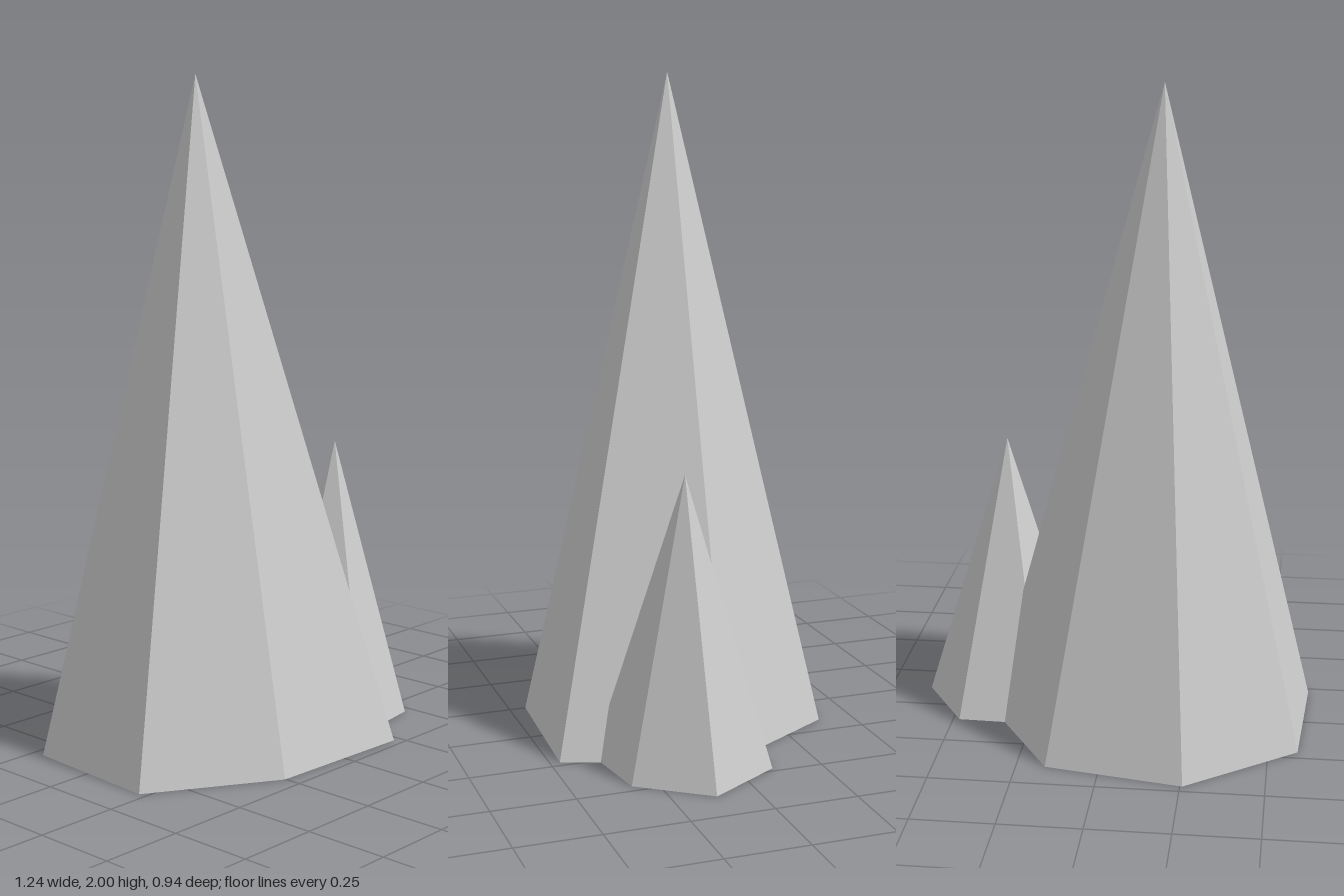
import * as THREE from 'three';

// A jagged spike: a cone with one corner per radius, corners running from +x towards +z.
function makeSpike(name, radii, height, x, z) {
  const n = radii.length;
  const geometry = new THREE.ConeGeometry(1, height, n, 1, false, Math.PI / 2);
  const pos = geometry.attributes.position;
  for (let i = 0; i < pos.count; i++) {
    const px = pos.getX(i), pz = pos.getZ(i);
    const corner = (Math.round((Math.atan2(pz, px) / (2 * Math.PI)) * n) + n) % n;
    pos.setXYZ(i, px * radii[corner], pos.getY(i) + height / 2, pz * radii[corner]);
  }
  geometry.computeVertexNormals();
  const material = new THREE.MeshStandardMaterial({ color: 0xcccccc, flatShading: true });
  const mesh = new THREE.Mesh(geometry, material);
  mesh.name = name;
  mesh.position.set(x, 0, z);
  return mesh;
}

export function createModel() {
  const group = new THREE.Group();
  group.name = 'rockSpikes';
  // Tall seven-sided spike
  group.add(makeSpike('tallSpike', [0.547, 0.602, 0.46, 0.52, 0.489, 0.482, 0.501], 2, -0.15, 0));
  // Short six-sided spike leaning into its side
  group.add(makeSpike('shortSpike', [0.267, 0.235, 0.28, 0.272, 0.268, 0.26], 0.87, 0.35, 0.123));
  return group;
}
